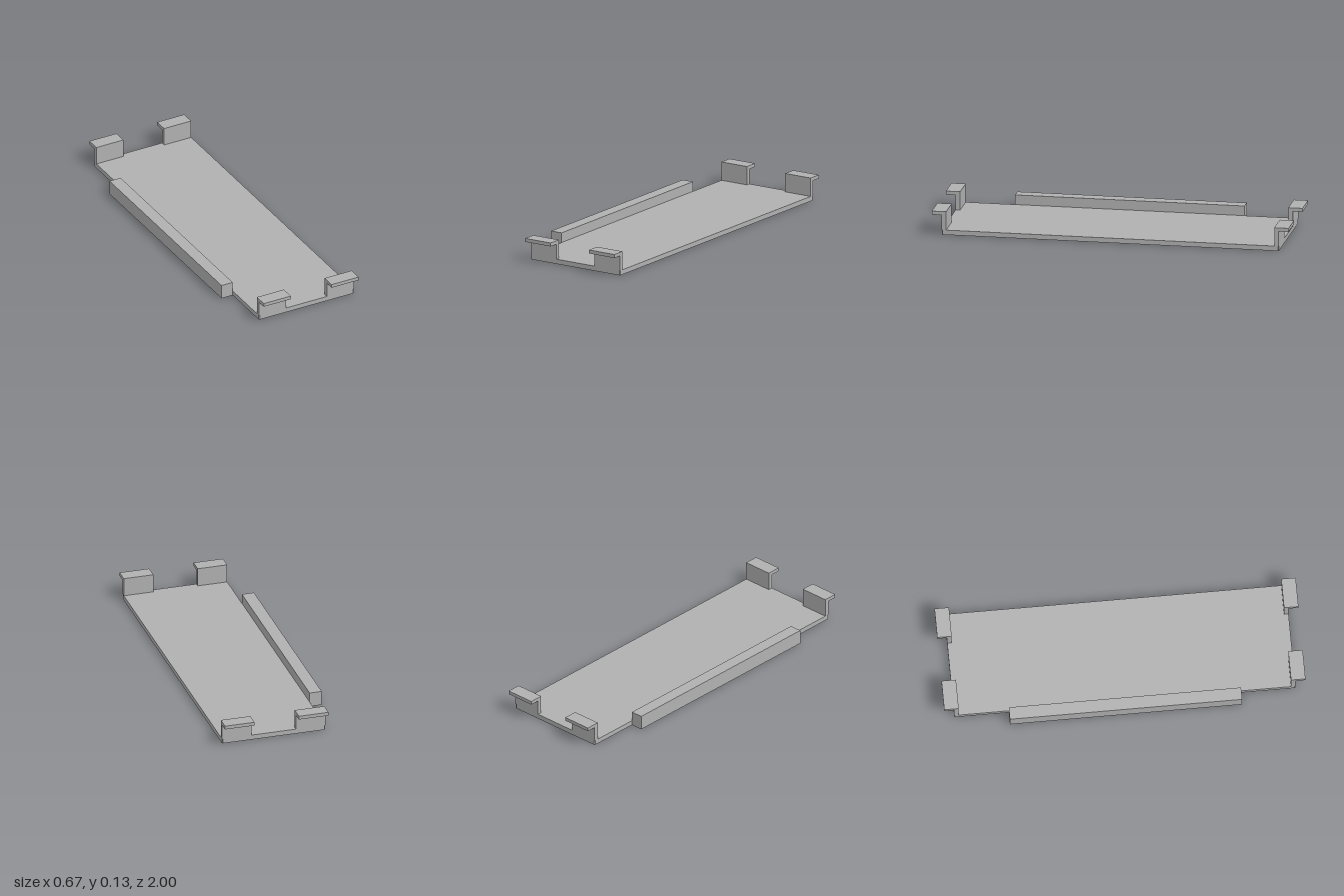
import * as THREE from 'three';

export function createModel() {
  const group = new THREE.Group();
  const grey = new THREE.MeshStandardMaterial({ color: 0xb0b0b0 });
  grey.name = 'plain grey';

  const add = (name, geometry) => {
    const mesh = new THREE.Mesh(geometry, grey);
    mesh.name = name;
    group.add(mesh);
    return mesh;
  };

  const x0 = -0.263, x1 = 0.333, end = 0.945, thick = 0.027, c = 0.005;

  // Flat base plate with tiny clipped corners
  const outline = new THREE.Shape([
    [x0 + c, -end], [x1 - c, -end], [x1, -end + c], [x1, end - c],
    [x1 - c, end], [x0 + c, end], [x0, end - c], [x0, -end + c],
  ].map(([x, y]) => new THREE.Vector2(x, y)));
  const plate = new THREE.ExtrudeGeometry(outline, { depth: thick, bevelEnabled: false });
  plate.rotateX(-Math.PI / 2);
  add('basePlate', plate);

  // Side rail along the right edge
  const rail = new THREE.BoxGeometry(0.07, 0.082, 1.286);
  rail.translate(-0.298, 0.041, 0);
  add('sideRail', rail);

  // Four upright tabs with outward lips, extruded from one bent profile
  const tabWidth = 0.17;
  const profile = new THREE.Shape([
    [0.92, thick], [end, thick], [end, 0.112], [1, 0.112], [1, 0.132], [0.92, 0.132],
  ].map(([z, y]) => new THREE.Vector2(z, y)));
  for (const [side, cx] of [['Right', x0 + tabWidth / 2], ['Left', x1 - tabWidth / 2]]) {
    for (const [place, angle] of [['front', -Math.PI / 2], ['back', Math.PI / 2]]) {
      const tab = new THREE.ExtrudeGeometry(profile, { depth: tabWidth, bevelEnabled: false });
      tab.translate(0, 0, -tabWidth / 2);
      tab.rotateY(angle);
      tab.translate(cx, 0, 0);
      add(place + side + 'Tab', tab);
    }
  }
  return group;
}
